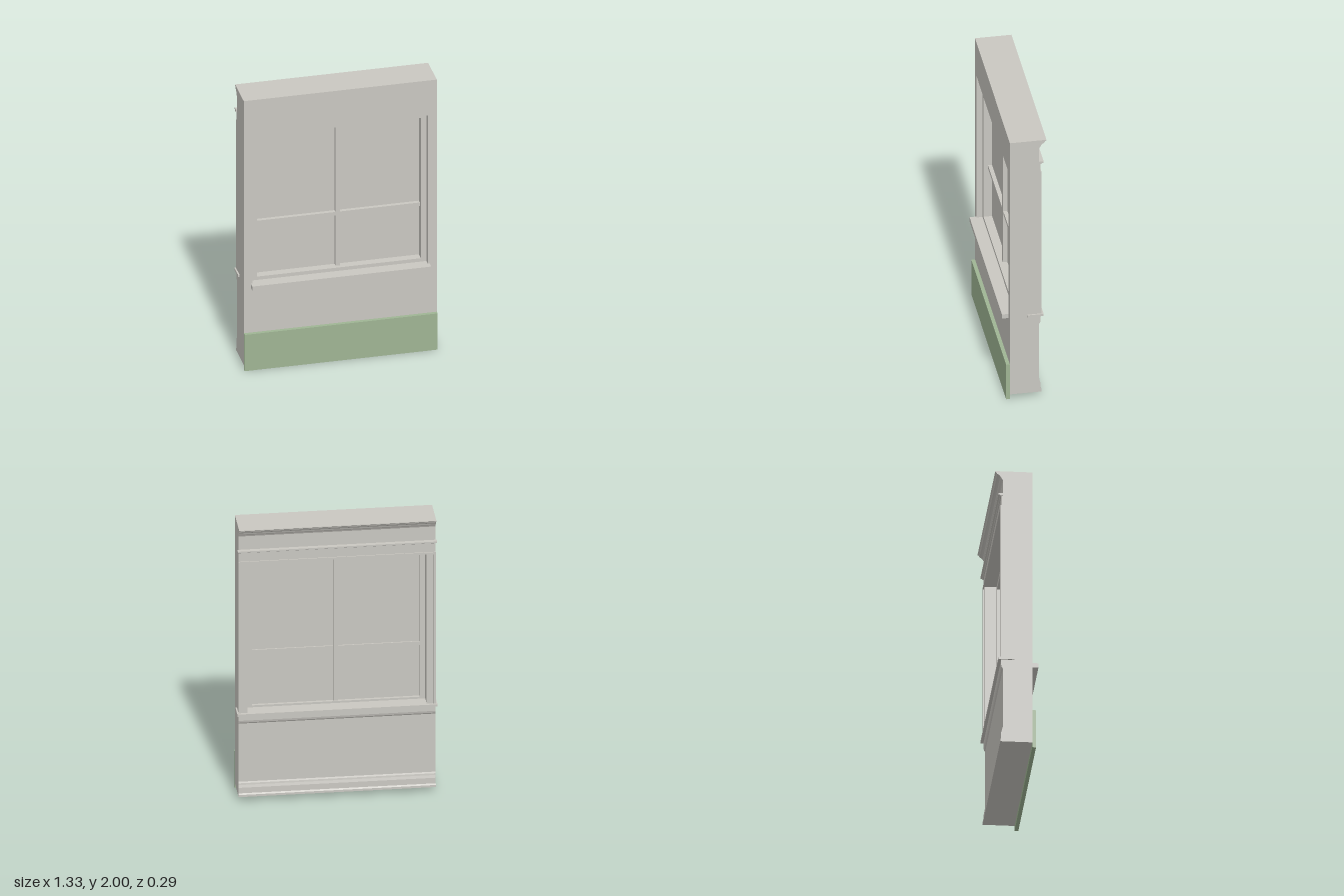
import * as THREE from 'three';

const W = 0.655;               // half width of the wall panel
const FRONT = 0.1, BACK = -0.095;
const OPEN = { x: 0.595, y0: 0.635, y1: 1.74 };
const PANE = { x: 0.557, y0: 0.66, y1: 1.705 };

export function createModel() {
  const plaster = new THREE.MeshStandardMaterial({ color: 0xc9c7c1 });
  plaster.name = 'warm grey plaster';
  const green = new THREE.MeshStandardMaterial({ color: 0x9fb594 });
  green.name = 'sage green';
  const group = new THREE.Group();
  group.name = 'windowWall';

  const add = (name, geo, mat = plaster) => {
    const mesh = new THREE.Mesh(geo, mat);
    mesh.name = name;
    group.add(mesh);
    return mesh;
  };

  // Box given by its limits on each axis
  const box = (name, x0, x1, y0, y1, z0, z1, mat) => {
    const geo = new THREE.BoxGeometry(x1 - x0, y1 - y0, z1 - z0);
    geo.translate((x0 + x1) / 2, (y0 + y1) / 2, (z0 + z1) / 2);
    return add(name, geo, mat);
  };

  const rect = (Type, x, y0, y1) => new Type([
    new THREE.Vector2(-x, y0), new THREE.Vector2(x, y0),
    new THREE.Vector2(x, y1), new THREE.Vector2(-x, y1),
  ]);

  // Rectangular plate with a rectangular hole, between two depths
  const ring = (name, outer, inner, z0, z1) => {
    const shape = rect(THREE.Shape, outer.x, outer.y0, outer.y1);
    shape.holes.push(rect(THREE.Path, inner.x, inner.y0, inner.y1));
    const geo = new THREE.ExtrudeGeometry(shape, { depth: z1 - z0, bevelEnabled: false });
    geo.translate(0, 0, z0);
    return add(name, geo);
  };

  // Moulding: [depth behind the wall, height] profile swept across the width
  const moulding = (name, halfWidth, profile) => {
    const shape = new THREE.Shape(profile.map(([d, y]) => new THREE.Vector2(d, y)));
    const geo = new THREE.ExtrudeGeometry(shape, { depth: 2 * halfWidth, bevelEnabled: false });
    geo.translate(0, 0, -halfWidth);
    geo.rotateY(Math.PI / 2);
    geo.translate(0, 0, BACK);
    return add(name, geo);
  };

  // Wall with the window opening, and the green base panel
  ring('wall', { x: W, y0: 0.035, y1: 2 }, OPEN, BACK, FRONT);
  box('basePanel', -W, W, 0, 0.27, FRONT, 0.125, green);

  // Window frame, pane and glazing bars
  ring('windowFrame', OPEN, PANE, -0.025, 0.06);
  box('pane', -PANE.x, PANE.x, PANE.y0, PANE.y1, -0.005, 0.003);
  box('mullion', -0.015, 0.015, PANE.y0, PANE.y1, -0.015, 0.033);
  for (const s of [-1, 1]) {
    const [a, b] = s < 0 ? [-PANE.x, -0.015] : [0.015, PANE.x];
    box('glazingBar', a, b, 1.035, 1.06, -0.014, 0.03);
  }

  // Sills on both faces
  box('frontSill', -0.607, 0.607, 0.603, 0.635, FRONT, 0.145);
  box('backSill', -0.665, 0.665, 0.63, 0.646, -0.125, -0.018);
  moulding('apron', W, [[0, 0.565], [0.007, 0.575], [0.011, 0.59], [0.011, 0.63], [0, 0.63]]);

  // Casing around the opening on the back
  for (const s of [-1, 1]) {
    const side = (name, a, b, y1, z) =>
      box(name, Math.min(s * a, s * b), Math.max(s * a, s * b), 0.646, y1, z, BACK);
    side('sideCasing', OPEN.x, 0.638, OPEN.y1, -0.105);
    side('sideCasingBand', 0.638, W, 1.755, -0.112);
  }
  box('headCasing', -W, W, OPEN.y1, 1.82, -0.105, BACK);
  box('headBead', -0.638, 0.638, OPEN.y1, 1.755, -0.112, -0.105);
  moulding('headCap', 0.662, [[0, 1.82], [0.016, 1.82], [0.02, 1.826], [0.03, 1.828],
    [0.03, 1.838], [0, 1.838]]);

  // Crown and skirting mouldings
  moulding('crown', W, [[0, 1.935], [0.005, 1.945], [0.012, 1.955], [0.017, 1.966],
    [0.027, 1.974], [0.037, 1.98], [0.042, 1.99], [0.05, 1.996], [0.05, 2], [0, 2]]);
  moulding('skirting', W, [[0, 0.035], [0.017, 0.035], [0.017, 0.05], [0.012, 0.06],
    [0.011, 0.1], [0.006, 0.118], [0.004, 0.13], [0, 0.14]]);

  return group;
}
